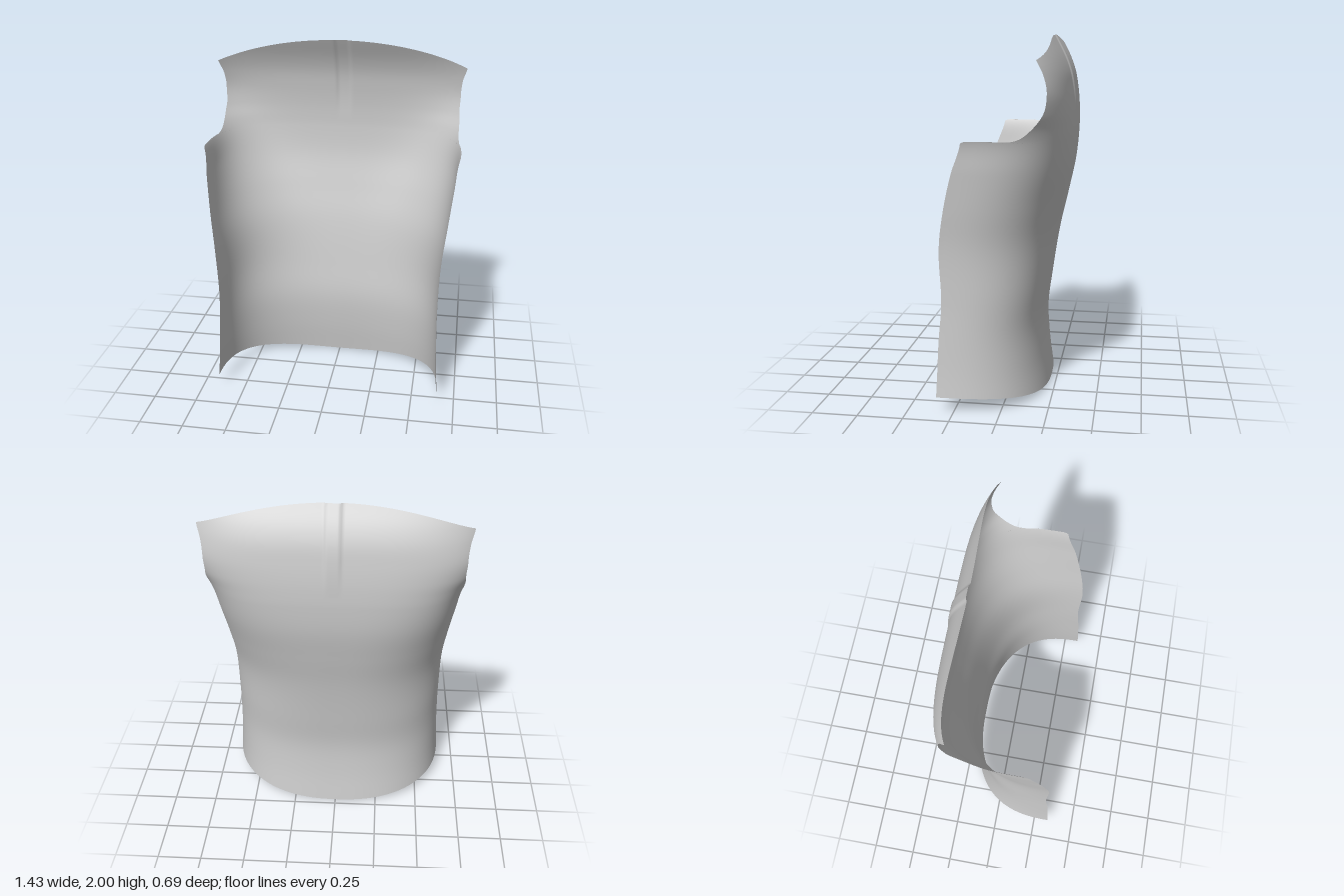
import * as THREE from 'three';

// Horizontal sections of the torso: [height, half width, spine z, front z, squareness]
const SECTIONS = [
  [0.00, 0.655, -0.215, 0.345, 2.6],
  [0.20, 0.640, -0.190, 0.335, 2.6],
  [0.40, 0.632, -0.181, 0.325, 2.6],
  [0.60, 0.628, -0.205, 0.308, 2.6],
  [0.90, 0.637, -0.252, 0.315, 2.6],
  [1.10, 0.660, -0.296, 0.285, 2.8],
  [1.30, 0.684, -0.335, 0.235, 3.2],
  [1.46, 0.706, -0.347, 0.180, 3.6],
  [1.52, 0.732, -0.347, 0.180, 3.7],
  [1.60, 0.782, -0.343, 0.180, 3.8],
  [1.70, 0.817, -0.331, 0.180, 4.0],
  [1.80, 0.823, -0.312, 0.180, 4.0],
  [1.88, 0.825, -0.283, 0.180, 4.0],
  [2.00, 0.830, -0.222, 0.180, 4.0],
];

// Cloth rows from hem to shoulder: [row, spine height, edge height, edge z]
const ROWS = [
  [0, 0.00, 0.085, 0.345],  // hem
  [1, 0.35, 0.420, 0.330],
  [2, 0.70, 0.760, 0.315],
  [3, 1.05, 1.110, 0.305],
  [4, 1.25, 1.340, 0.250],
  [5, 1.36, 1.460, 0.180],  // underarm corner
  [6, 1.44, 1.462, 0.050],  // armhole
  [7, 1.50, 1.470, -0.080],
  [8, 1.56, 1.510, -0.155],
  [9, 1.63, 1.600, -0.230],
  [10, 1.73, 1.700, -0.250],
  [11, 1.85, 1.790, -0.235],
  [12, 2.00, 1.868, -0.200], // shoulder seam
];

const HALF = 80; // columns on each side of the spine
const STEPS = 96;

// Smooth interpolation of a table by its first column
function smoothTable(table) {
  const keys = table.map((row) => row[0]);
  const values = table.flatMap((row) => row.slice(1));
  const curve = new THREE.CubicInterpolant(keys, values, table[0].length - 1);
  return (key) => Array.from(curve.evaluate(key));
}

const sectionAt = smoothTable(SECTIONS);
const rowAt = smoothTable(ROWS);

// Box pleat below the collar: a shallow raised strip fading out downwards
function pleat(x, y) {
  const across = THREE.MathUtils.smoothstep(x, -0.045, -0.025)
    * (1 - THREE.MathUtils.smoothstep(x, 0.035, 0.055));
  return -0.008 * across * THREE.MathUtils.smoothstep(y, 1.5, 1.75);
}

// Angle on the section at which the cloth is cut off at its side edge
function edgeAngle(y, z) {
  const [, back, front, power] = sectionAt(y);
  const k = THREE.MathUtils.clamp((front - z) / (front - back), 0, 1);
  return Math.acos(Math.pow(k, power / 2));
}

function createPanelGeometry() {
  const positions = [];
  const indices = [];
  const columns = HALF * 2 + 1;

  for (let j = 0; j <= STEPS; j++) {
    const row = (j / STEPS) * (ROWS.length - 1);
    const [spineY, edgeY, edgeZ] = rowAt(row);
    const edgePower = sectionAt(edgeY)[3];
    // Below the underarm the cloth runs the full half section
    const limit = row <= 5 ? Math.PI / 2 : edgeAngle(edgeY, edgeZ);
    for (let i = -HALF; i <= HALF; i++) {
      // Columns evenly spaced in x near the spine
      const angle = limit * Math.pow(Math.abs(i) / HALF, edgePower / 2);
      const blend = Math.pow(Math.sin(angle) / Math.sin(limit), 4 / edgePower);
      const y = spineY + (edgeY - spineY) * blend;
      const [width, back, front, power] = sectionAt(y);
      const x = Math.sign(i) * width * Math.pow(Math.sin(angle), 2 / power);
      const inward = Math.pow(Math.max(0, Math.cos(angle)), 2 / power);
      positions.push(x, y, front - (front - back) * inward + pleat(x, y));
    }
  }

  for (let j = 0; j < STEPS; j++) {
    for (let i = 0; i < columns - 1; i++) {
      const a = j * columns + i;
      const up = a + columns;
      indices.push(a, up, a + 1, up, up + 1, a + 1);
    }
  }

  const geometry = new THREE.BufferGeometry();
  geometry.setAttribute('position', new THREE.Float32BufferAttribute(positions, 3));
  geometry.setIndex(indices);
  geometry.computeVertexNormals();
  return geometry;
}

export function createModel() {
  const group = new THREE.Group();
  group.name = 'garmentBack';
  const cloth = new THREE.MeshStandardMaterial({ color: 0xcccccc, side: THREE.DoubleSide });
  const panel = new THREE.Mesh(createPanelGeometry(), cloth);
  panel.name = 'backPanel';
  group.add(panel);
  return group;
}
